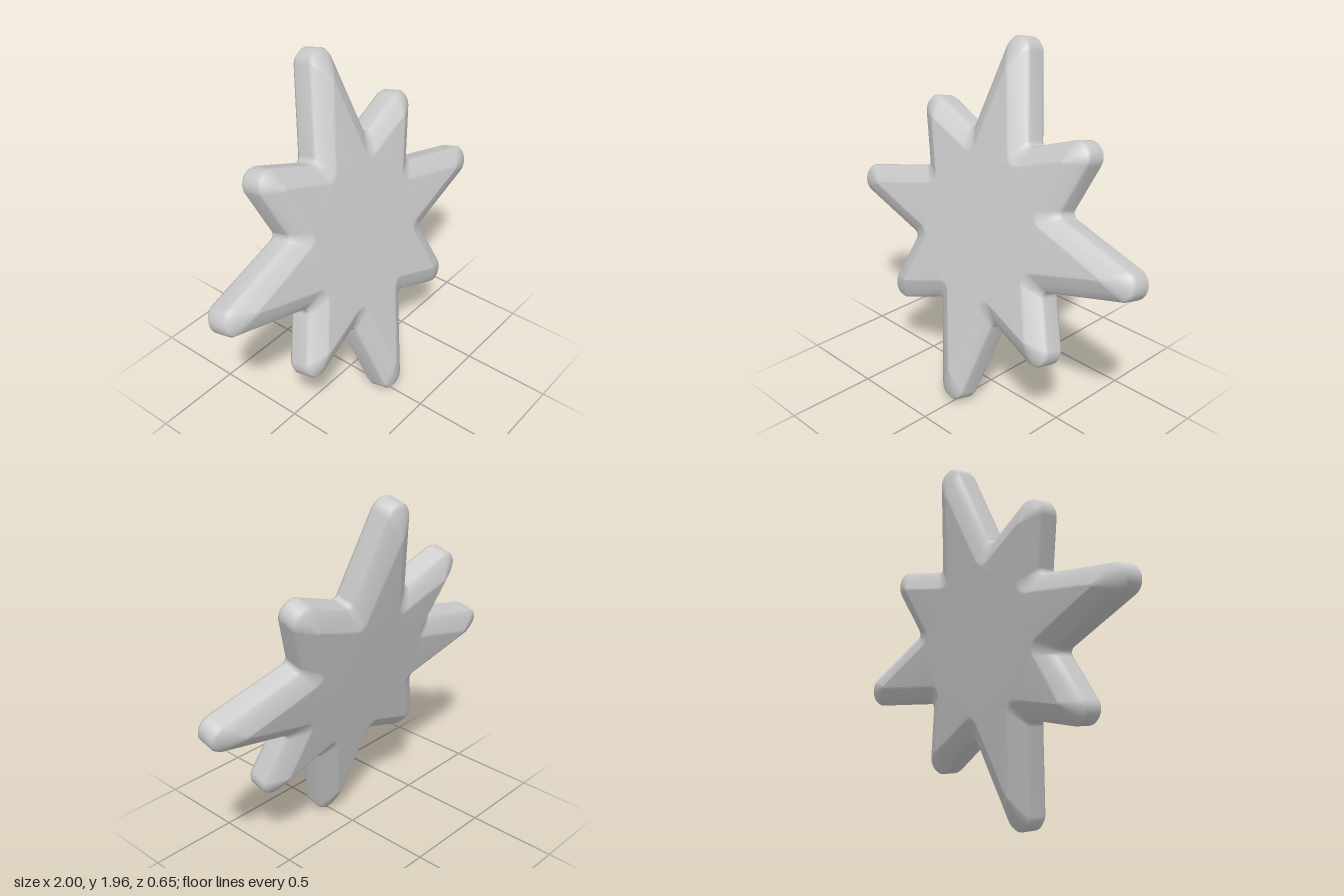
import * as THREE from 'three';

const LONG_ANGLE = THREE.MathUtils.degToRad(14.7);  // half angle of the long points
const SHORT_ANGLE = THREE.MathUtils.degToRad(23.9); // half angle of the short points
const TILT = THREE.MathUtils.degToRad(15);

// Rounds one polygon corner with an arc of the given radius
function fillet(prev, corner, next, radius, steps) {
  const a = prev.clone().sub(corner).normalize();
  const b = next.clone().sub(corner).normalize();
  const half = Math.acos(a.dot(b)) / 2;
  const centre = a.clone().add(b).normalize().multiplyScalar(radius / Math.sin(half)).add(corner);
  const start = a.multiplyScalar(radius / Math.tan(half)).add(corner).sub(centre);
  const end = b.multiplyScalar(radius / Math.tan(half)).add(corner).sub(centre);
  const sweep = Math.atan2(start.cross(end), start.dot(end));
  return Array.from({ length: steps + 1 }, (_, i) =>
    start.clone().rotateAround(new THREE.Vector2(), sweep * i / steps).add(centre));
}

// Eight-pointed outline, edges moved inwards by inset, counter-clockwise
function starOutline(inset, tipRadius, notchRadius) {
  const tip = new THREE.Vector2(1.236 - inset / Math.sin(LONG_ANGLE), 0);
  const shortReach = (0.915 - inset / Math.sin(SHORT_ANGLE)) * Math.SQRT1_2;
  const shortTip = new THREE.Vector2(shortReach, shortReach);
  // Notch where the edges of neighbouring points cross
  const d1 = new THREE.Vector2(-Math.cos(LONG_ANGLE), Math.sin(LONG_ANGLE));
  const angle = Math.PI * 1.25 + SHORT_ANGLE;
  const d2 = new THREE.Vector2(Math.cos(angle), Math.sin(angle));
  const s = shortTip.clone().sub(tip).cross(d2) / d1.cross(d2);
  const notch = tip.clone().addScaledVector(d1, s);
  const mirrored = new THREE.Vector2(notch.y, notch.x);

  const corners = [];
  for (let q = 0; q < 4; q++) {
    for (const p of [tip, notch, shortTip, mirrored]) {
      corners.push(p.clone().rotateAround(new THREE.Vector2(), q * Math.PI / 2));
    }
  }
  const n = corners.length;
  return corners.flatMap((c, i) => fillet(corners[(i + n - 1) % n], c, corners[(i + 1) % n],
    i % 2 ? notchRadius : tipRadius, i % 2 ? 8 : 14));
}

function starGeometry() {
  const outer = starOutline(0, 0.08, 0.03);
  const inner = starOutline(0.1, 0.006, 0.06);
  // Edge profile: [depth, blend from outer to inner outline]
  const half = [[0.045, 0], [0.062, 0.08], [0.088, 0.46], [0.11, 0.88], [0.115, 1]];
  const profile = [...half.map(([z, k]) => [-z, k]).reverse(), ...half];

  const count = outer.length;
  const positions = [];
  const index = [];
  for (const [z, k] of profile) {
    outer.forEach((p, j) => {
      const v = p.clone().lerp(inner[j], k);
      positions.push(v.x, v.y, z);
    });
  }
  for (let i = 0; i < profile.length - 1; i++) {
    for (let j = 0; j < count; j++) {
      const a = i * count + j;
      const b = i * count + (j + 1) % count;
      index.push(a, b, b + count, a, b + count, a + count);
    }
  }
  // Flat front and back faces
  const top = (profile.length - 1) * count;
  for (const [a, b, c] of THREE.ShapeUtils.triangulateShape(inner, [])) {
    index.push(top + a, top + b, top + c, c, b, a);
  }
  const geometry = new THREE.BufferGeometry();
  geometry.setAttribute('position', new THREE.Float32BufferAttribute(positions, 3));
  geometry.setIndex(index);
  geometry.computeVertexNormals();
  return geometry;
}

export function createModel() {
  const group = new THREE.Group();
  group.name = 'tiltedStar';
  const star = new THREE.Mesh(starGeometry(), new THREE.MeshStandardMaterial({ color: 0xcccccc }));
  star.name = 'star';
  // Leans back, resting on its lowest point
  star.rotation.x = -TILT;
  star.position.y = Math.cos(TILT) + 0.045 * Math.sin(TILT);
  group.add(star);
  return group;
}
